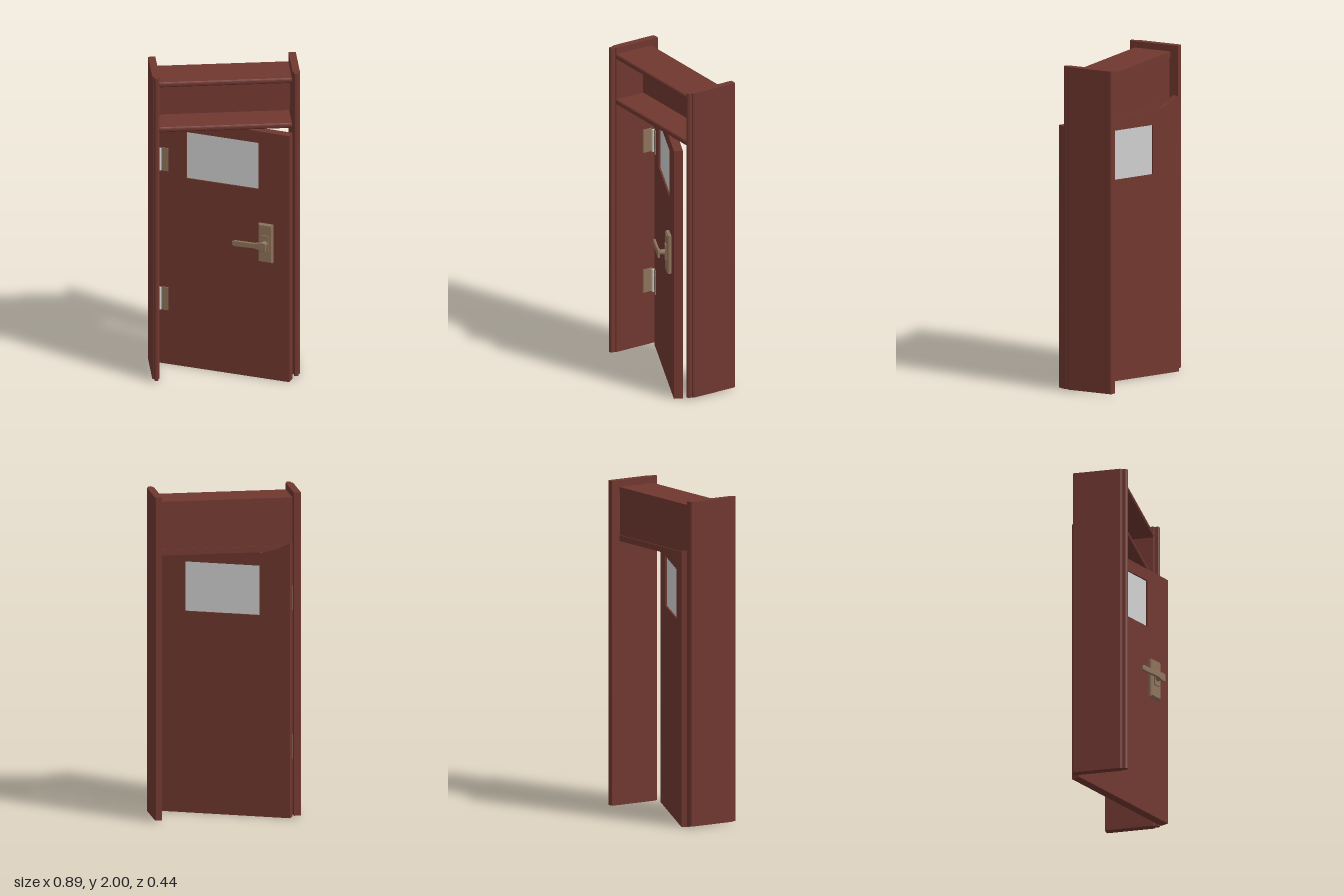
import * as THREE from 'three';

export function createModel() {
  const root = new THREE.Group();
  const mat = (name, color) => {
    const m = new THREE.MeshStandardMaterial({ color });
    m.name = name;
    return m;
  };
  const wood = mat('red painted wood', 0x70372f);
  const glass = mat('pale grey glass', 0xd0d0d0);
  const bronze = mat('bronze metal', 0x8f735b);

  const add = (parent, name, geometry, material, x = 0, y = 0, z = 0) => {
    const mesh = new THREE.Mesh(geometry, material);
    mesh.name = name;
    mesh.position.set(x, y, z);
    parent.add(mesh);
    return mesh;
  };
  const polygon = (points) => new THREE.Shape(points.map(([x, y]) => new THREE.Vector2(x, y)));
  const extrude = (shape, depth, extra = {}) =>
    new THREE.ExtrudeGeometry(shape, { depth, bevelEnabled: false, ...extra });

  // Jambs: plan profile with a chamfered front and a narrow stop lip
  const jambPlan = [
    [0.403, -0.192], [0.44, -0.192], [0.447, -0.186], [0.447, 0.1], [0.442, 0.112],
    [0.436, 0.114], [0.436, 0.134], [0.43, 0.142], [0.415, 0.142], [0.41, 0.134],
    [0.41, 0.114], [0.403, 0.108],
  ];
  for (const s of [-1, 1]) {
    const g = extrude(polygon(jambPlan.map(([x, z]) => [s * x, -z])), 1.99);
    g.rotateX(-Math.PI / 2);
    add(root, s < 0 ? 'rightJamb' : 'leftJamb', g, wood, 0, 0.01, 0);
  }

  // Two cross rails with rounded front edges, and the transom panel
  const rail = new THREE.Shape();
  rail.moveTo(-0.142, 0);
  rail.lineTo(0.1, 0);
  rail.quadraticCurveTo(0.113, 0, 0.113, 0.017);
  rail.quadraticCurveTo(0.113, 0.035, 0.1, 0.035);
  rail.lineTo(-0.142, 0.035);
  const railGeo = extrude(rail, 0.8, { curveSegments: 4 });
  railGeo.rotateY(-Math.PI / 2); // profile z, length along x
  railGeo.translate(0.398, 0, 0);
  add(root, 'upperRail', railGeo, wood, 0, 1.926, 0);
  add(root, 'lowerRail', railGeo, wood, 0, 1.63, 0);
  add(root, 'transomPanel', new THREE.BoxGeometry(0.806, 0.27, 0.05), wood, 0, 1.795, -0.11);

  // Door leaf, standing ajar, with a window opening
  const door = new THREE.Group();
  door.name = 'door';
  door.position.set(0, 0, -0.004);
  door.rotation.y = -0.445;
  root.add(door);
  const T = 0.055;
  const leaf = polygon([[-0.428, 0], [0.428, 0], [0.428, 1.62], [-0.25, 1.625], [-0.36, 1.66], [-0.428, 1.695]]);
  leaf.holes.push(polygon([[-0.236, 1.24], [-0.236, 1.545], [0.229, 1.545], [0.229, 1.24]]));
  add(door, 'doorLeaf', extrude(leaf, T), wood, 0, 0, -T / 2);
  add(door, 'windowPane', new THREE.BoxGeometry(0.465, 0.305, 0.035), glass, -0.0035, 1.3925, 0);

  // Handle: bevelled plate, neck and tapered lever
  const handle = new THREE.Group();
  handle.name = 'handle';
  handle.position.set(0.282, 0.9, T / 2);
  door.add(handle);
  const plate = polygon([[-0.038, -0.118], [0.038, -0.118], [0.038, 0.118], [-0.038, 0.118]]);
  add(handle, 'handlePlate', extrude(plate, 0.014, {
    bevelEnabled: true, bevelThickness: 0.008, bevelSize: 0.007, bevelSegments: 1,
  }), bronze, 0, 0, 0.006);
  add(handle, 'plateBoss', new THREE.BoxGeometry(0.045, 0.1, 0.01), bronze, 0, 0.005, 0.03);
  const neck = new THREE.CylinderGeometry(0.013, 0.021, 0.06, 12);
  neck.rotateX(Math.PI / 2);
  add(handle, 'handleNeck', neck, bronze, 0, 0.003, 0.05);
  const lever = polygon([[0.02, -0.024], [0.02, 0.02], [0, 0.025], [-0.05, 0.013], [-0.175, 0.012],
    [-0.19, 0.006], [-0.19, -0.016], [-0.175, -0.02], [-0.05, -0.015], [0, -0.026]]);
  add(handle, 'handleLever', extrude(lever, 0.01, {
    bevelEnabled: true, bevelThickness: 0.003, bevelSize: 0.003, bevelSegments: 1,
  }), bronze, 0, 0, 0.069);

  // Hinges: a leaf on the door, a leaf on the jamb, a pin and screws
  for (const y of [0.43, 1.345]) {
    const tag = y < 1 ? 'lower' : 'upper';
    add(door, tag + 'HingeDoorLeaf', new THREE.BoxGeometry(0.066, 0.15, 0.006), bronze, -0.383, y, T / 2 + 0.003);
    add(root, tag + 'HingeJambLeaf', new THREE.BoxGeometry(0.006, 0.15, 0.065), bronze, -0.4, y, -0.115);
    add(root, tag + 'HingePin', new THREE.CylinderGeometry(0.009, 0.009, 0.145, 12), glass, -0.38, y, -0.143);
    for (const dy of [-0.05, 0.05]) {
      const screw = new THREE.CylinderGeometry(0.005, 0.005, 0.004, 8);
      screw.rotateX(Math.PI / 2);
      add(door, tag + 'HingeScrew', screw, bronze, -0.365, y + dy, T / 2 + 0.007);
    }
  }
  return root;
}
